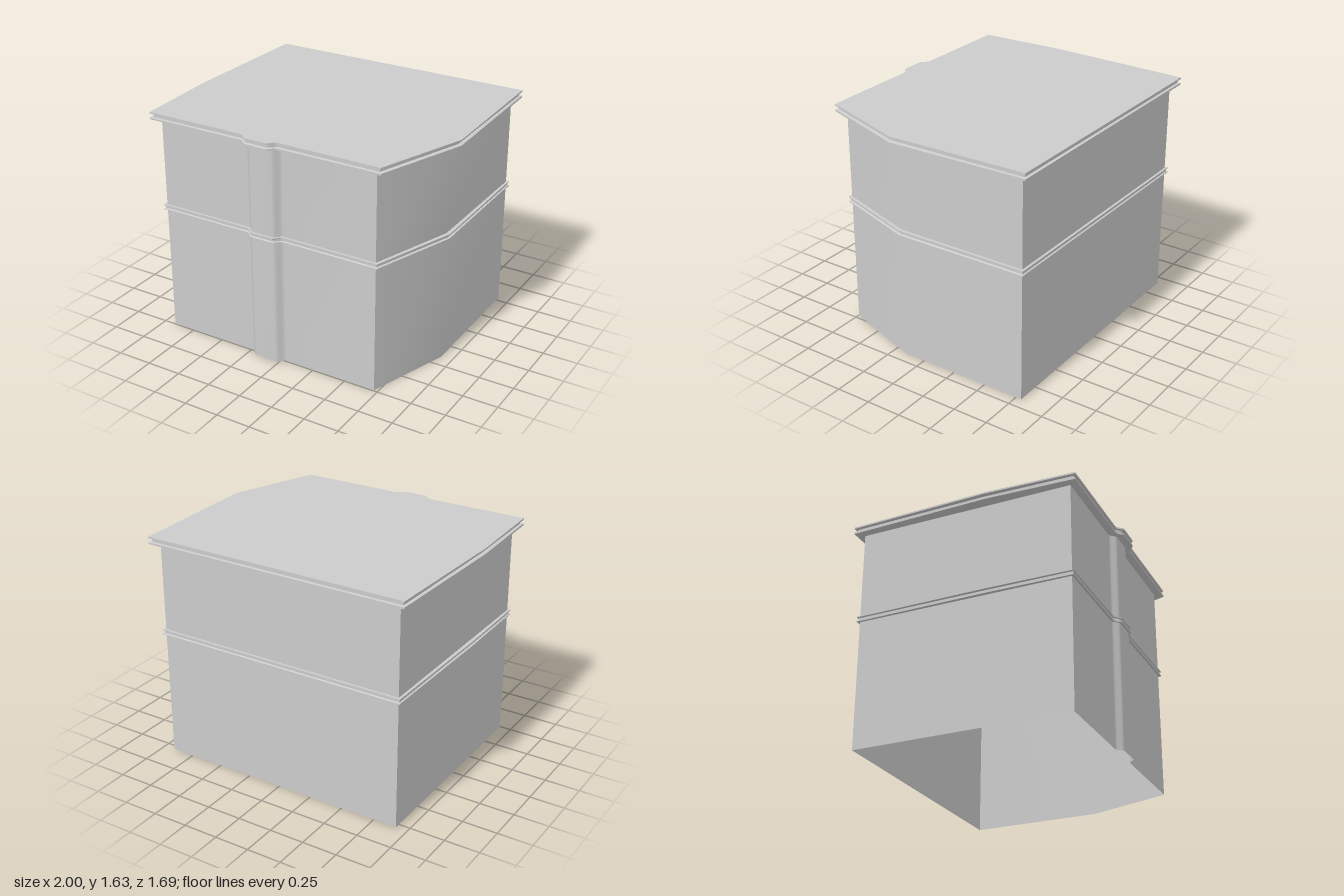
import * as THREE from 'three';
import { toCreasedNormals } from 'three/addons/utils/BufferGeometryUtils.js';

const material = new THREE.MeshStandardMaterial({ color: 0xcccccc, side: THREE.DoubleSide });

// Plan outline of the building, pushed outwards by d; returns [x, z] pairs
function outline(d) {
  const front = 0.743 + d;
  const bulge = 0.917 + d * 1.5;
  const points = [
    [0.722 + d, front],
    [bulge, 0.15 + d * 0.2],
    [0.917 + d, -0.79 - d],
    [-0.917 - d, -0.79 - d],
    [-bulge, 0.15 + d * 0.2],
    [-0.917 - d, front],
  ];
  // Shallow pilaster with S-curved flanks on the front
  const steps = 8;
  for (const [x0, x1, rising] of [[-0.24, -0.18, true], [-0.025, 0.035, false]]) {
    for (let i = 0; i <= steps; i++) {
      const t = i / steps;
      const s = t * t * (3 - 2 * t);
      points.push([x0 + (x1 - x0) * t, front + 0.044 * (rising ? s : 1 - s)]);
    }
  }
  return points;
}

// Skin a vertical profile of [offset, height] pairs around the outline
function skin(name, profile) {
  const rings = profile.map(([d, y]) => outline(d).map(([x, z]) => [x, y, z]));
  const positions = [];
  for (let r = 0; r < rings.length - 1; r++) {
    const low = rings[r], high = rings[r + 1];
    for (let i = 0; i < low.length; i++) {
      const j = (i + 1) % low.length;
      positions.push(...low[i], ...low[j], ...high[j], ...low[i], ...high[j], ...high[i]);
    }
  }
  const geometry = new THREE.BufferGeometry();
  geometry.setAttribute('position', new THREE.Float32BufferAttribute(positions, 3));
  const mesh = new THREE.Mesh(toCreasedNormals(geometry, Math.PI / 6), material);
  mesh.name = name;
  return mesh;
}

export function createModel() {
  const group = new THREE.Group();
  group.name = 'building';

  // Storey walls, open underneath
  group.add(skin('lowerWalls', [[0, 0], [0, 0.915]]));
  group.add(skin('upperWalls', [[0, 0.953], [0, 1.583]]));

  // Moulding between storeys: two thin lips with a groove between
  group.add(skin('middleMoulding', [
    [0, 0.915], [0.017, 0.915], [0.017, 0.921], [0.008, 0.926],
    [0.008, 0.942], [0.017, 0.947], [0.017, 0.953], [0, 0.953],
  ]));

  // Cornice with the same lipped profile
  group.add(skin('cornice', [
    [0, 1.583], [0.055, 1.583], [0.055, 1.595], [0.038, 1.599],
    [0.038, 1.62], [0.055, 1.624], [0.055, 1.635],
  ]));

  // Flat roof
  const shape = new THREE.Shape(outline(0.055).map(([x, z]) => new THREE.Vector2(x, -z)));
  const roof = new THREE.Mesh(new THREE.ShapeGeometry(shape), material);
  roof.name = 'roof';
  roof.rotation.x = -Math.PI / 2;
  roof.position.y = 1.635;
  group.add(roof);

  return group;
}
